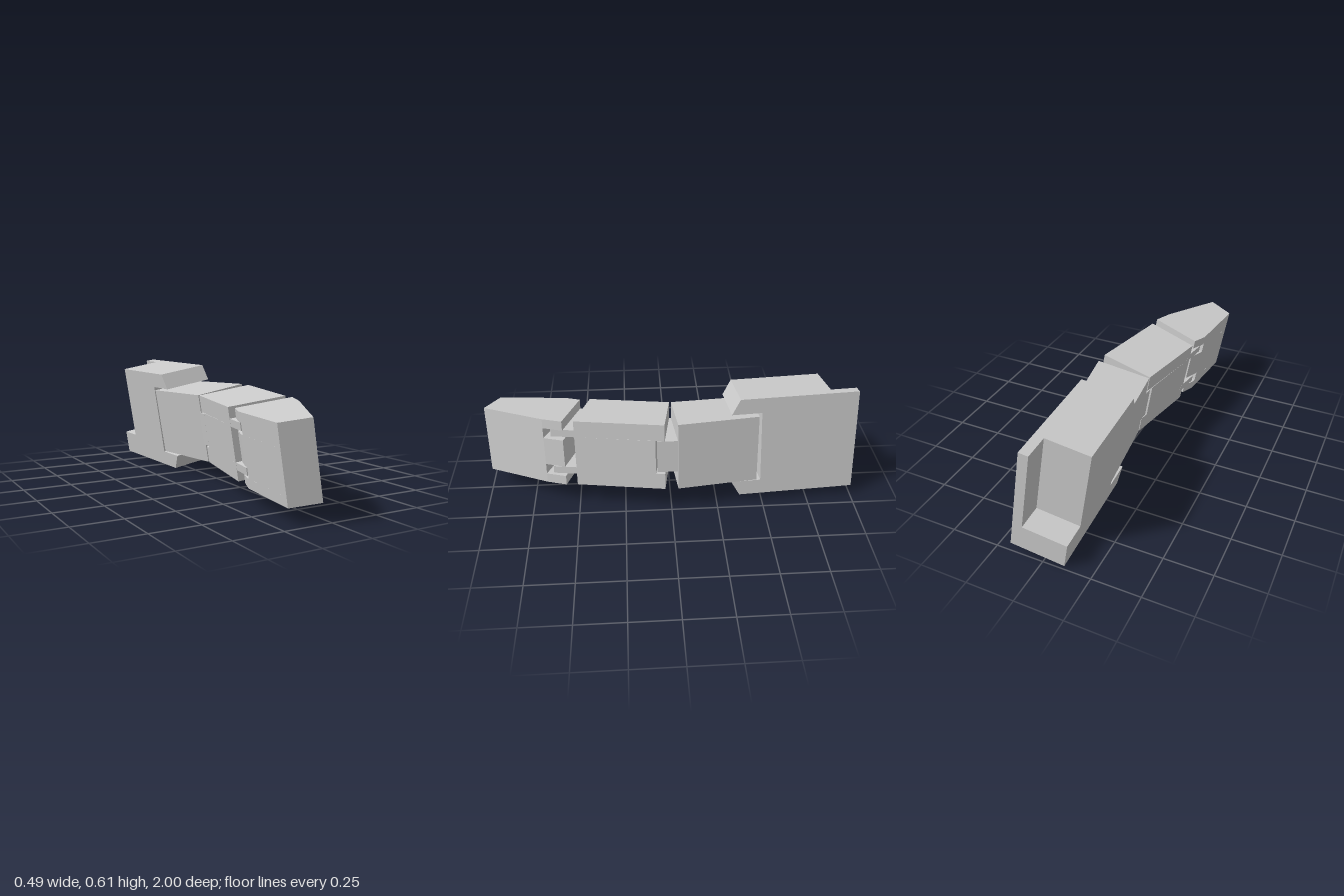
import * as THREE from 'three';

const material = new THREE.MeshStandardMaterial({ color: 0xcccccc, flatShading: true });

function extrude(points, depth) {
  const shape = new THREE.Shape(points.map(([x, y]) => new THREE.Vector2(x, y)));
  return new THREE.ExtrudeGeometry(shape, { depth, bevelEnabled: false });
}

// Plan profile of [x, z] points, extruded upward from y0 to y1
function slab(name, profile, y0, y1) {
  const geometry = extrude(profile.map(([x, z]) => [x, -z]), y1 - y0);
  geometry.rotateX(-Math.PI / 2).translate(0, y0, 0);
  const mesh = new THREE.Mesh(geometry, material);
  mesh.name = name;
  return mesh;
}

// Side profile of [z, y] points, extruded sideways from x0 to x1
function sidePlate(name, profile, x0, x1) {
  const geometry = extrude(profile.map(([z, y]) => [-z, y]), x1 - x0);
  geometry.rotateY(Math.PI / 2).translate(x0, 0, 0);
  const mesh = new THREE.Mesh(geometry, material);
  mesh.name = name;
  return mesh;
}

function part(name, ...meshes) {
  const group = new THREE.Group();
  group.name = name;
  group.add(...meshes);
  return group;
}

export function createModel() {
  const model = new THREE.Group();
  model.name = 'jointedFinger';
  const half = 0.188;                  // half width of the finger
  const tongue = 0.09, socket = 0.097; // knuckle tongue and its socket
  const lug = [0.09, 0.13], notch = [0.078, 0.136]; // fingertip hinge

  // Base segment with a wide tongue reaching forward
  const base = part('baseSegment',
    slab('baseBody', [[-0.122, -0.465], [0.152, -0.465], [0.217, -0.035], [-0.075, -0.015]], -half, half),
    slab('baseTongue', [[-0.075, -0.05], [0.205, -0.05], [0.203, 0.075], [-0.08, 0.028]], -tongue, tongue));

  // Middle segment, socketed at the back, two lugs at the front
  const middleFront = [[0.13, 0.505], [-0.155, 0.43]];
  const middleFull = [[-0.075, -0.005], [0.216, 0.035], ...middleFront];
  const middleCut = [[-0.086, 0.04], [0.209, 0.083], ...middleFront];
  const middle = part('middleSegment',
    slab('middleSocket', middleCut, -socket, socket));

  // Fingertip, notched around the lugs
  const tipFront = [[0.09, 0.67], [-0.08, 0.997], [-0.217, 0.93], [-0.182, 0.565]];
  const tipFull = [[-0.15, 0.485], [0.128, 0.565], ...tipFront];
  const tipCut = [[0.09, 0.67], [-0.08, 0.997], [-0.217, 0.93], [-0.183, 0.58]];
  const tip = part('fingertip', slab('tipCentre', tipFull, -notch[0], notch[0]));

  for (const s of [-1, 1]) {
    const mirrored = (name, profile, a, b) =>
      slab(name, profile, Math.min(s * a, s * b), Math.max(s * a, s * b));
    middle.add(
      mirrored('middleSide', middleFull, socket, half),
      mirrored('hingeLug', [[-0.15, 0.4], [0.122, 0.48], [0.095, 0.63], [-0.172, 0.552]], ...lug));
    tip.add(
      mirrored('tipNotchFloor', tipCut, ...notch),
      mirrored('tipSide', tipFull, notch[1], half));
  }

  // Knuckle housing: slotted chamfered block, rear plate and ledge
  const w = 0.283, slot = 0.2;
  const housing = part('knuckleHousing',
    sidePlate('housingBlock', [
      [-0.18, w], [0.31, w], [0.355, slot], [0.195, slot],
      [0.195, -slot], [0.355, -slot], [0.31, -w], [-0.18, -w]], -0.14, 0.14),
    sidePlate('rearPlate', [[-0.18, w], [-0.18, -w], [-0.32, -w], [-0.32, w]], 0.09, 0.14),
    sidePlate('rearLedge', [[-0.18, -0.15], [-0.18, -w], [-0.32, -w], [-0.32, -0.15]], -0.14, 0.09));
  housing.position.set(0.003, 0.013, -0.67);
  housing.rotation.set(0.02, 0.05, 0);

  // Whole finger rolled slightly to one side
  const finger = part('finger', base, middle, tip, housing);
  finger.rotation.z = 0.164;
  finger.position.y = 0.298;
  model.add(finger);
  return model;
}
